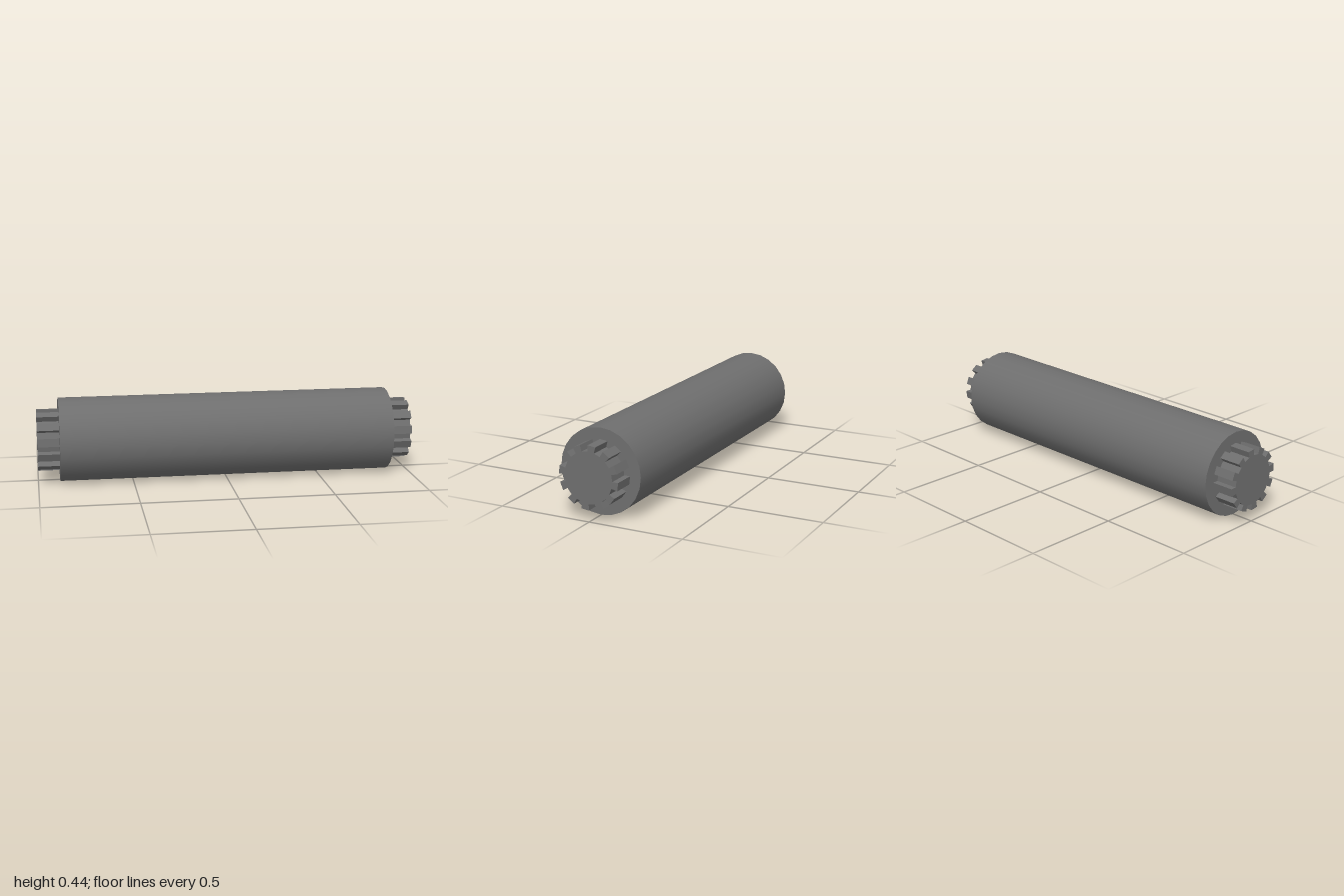
import * as THREE from 'three';

const BODY_RADIUS = 0.221;
const BODY_HALF = 0.885;
const TIP_RADIUS = 0.163;
const ROOT_RADIUS = 0.131;
const TEETH = 12;

// Toothed outline: each tooth and each gap spans half of the pitch
function splineShape() {
  const points = [];
  const half = Math.PI / TEETH;
  for (let i = 0; i < TEETH; i++) {
    const a = i * 2 * half;
    const corners = [[ROOT_RADIUS, a], [TIP_RADIUS, a], [TIP_RADIUS, a + half], [ROOT_RADIUS, a + half]];
    for (const [r, t] of corners) points.push(new THREE.Vector2(r * Math.sin(t), r * Math.cos(t)));
  }
  return new THREE.Shape(points);
}

export function createModel() {
  const model = new THREE.Group();
  model.name = 'splinedRoller';
  const material = new THREE.MeshStandardMaterial({ color: 0x6e6e6e });

  // Roller body lying along x
  const bodyGeometry = new THREE.CylinderGeometry(BODY_RADIUS, BODY_RADIUS, 2 * BODY_HALF, 24);
  bodyGeometry.rotateZ(Math.PI / 2);
  const body = new THREE.Mesh(bodyGeometry, material);
  body.name = 'rollerBody';
  body.position.y = BODY_RADIUS;
  model.add(body);

  // Splined stub at each end
  const length = 1 - BODY_HALF;
  const stubGeometry = new THREE.ExtrudeGeometry(splineShape(), { depth: length, bevelEnabled: false });
  stubGeometry.translate(0, 0, -length / 2);
  stubGeometry.rotateY(Math.PI / 2);
  for (const [name, side] of [['leftSpline', 1], ['rightSpline', -1]]) {
    const stub = new THREE.Mesh(stubGeometry, material);
    stub.name = name;
    stub.position.set(side * (BODY_HALF + length / 2), BODY_RADIUS, 0);
    model.add(stub);
  }

  return model;
}
